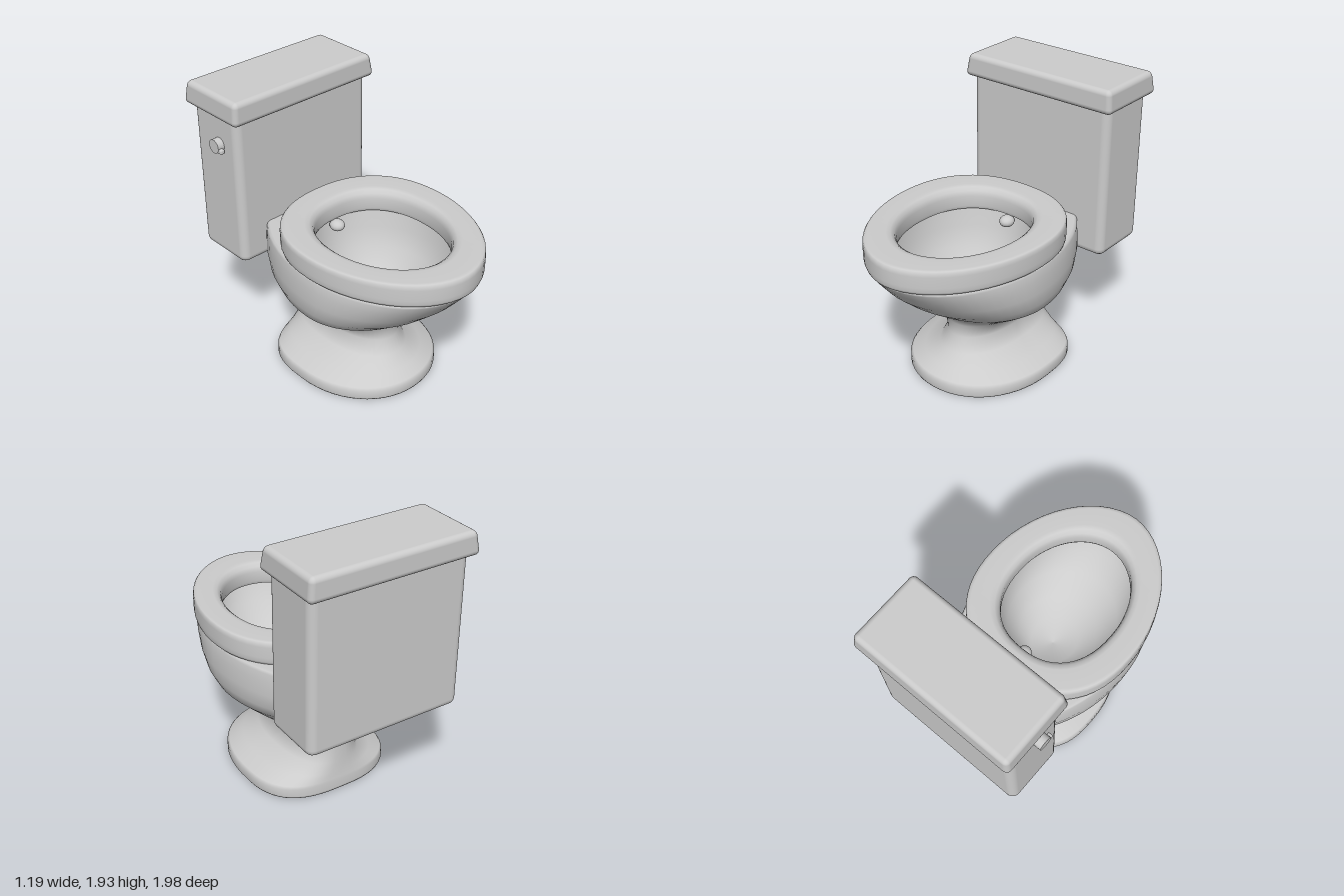
import * as THREE from 'three';
import { RoundedBoxGeometry } from 'three/addons/geometries/RoundedBoxGeometry.js';

const SEGMENTS = 56;
const material = new THREE.MeshStandardMaterial({ color: 0xcccccc });

// Lofts egg-shaped rings. Row: [y, half width, front z, back z, widest z, front power, back power]
function loft(rows) {
  const pos = [], index = [];
  const bend = (v, n) => Math.sign(v) * Math.pow(Math.abs(v), 2 / n);
  for (const [y, w, front, back, mid, nf = 2, nb = 2] of rows) {
    for (let j = 0; j < SEGMENTS; j++) {
      const a = (j / SEGMENTS) * Math.PI * 2;
      const s = Math.sin(a), n = s > 0 ? nf : nb;
      const reach = s > 0 ? front - mid : mid - back;
      pos.push(w * bend(Math.cos(a), n), y, mid + reach * bend(s, n));
    }
  }
  for (let i = 0; i < rows.length - 1; i++) {
    for (let j = 0; j < SEGMENTS; j++) {
      const k = (j + 1) % SEGMENTS;
      const a = i * SEGMENTS + j, b = a + SEGMENTS;
      const c = i * SEGMENTS + k, d = c + SEGMENTS;
      index.push(a, b, c, c, b, d);
    }
  }
  const g = new THREE.BufferGeometry();
  g.setAttribute('position', new THREE.Float32BufferAttribute(pos, 3));
  g.setIndex(index);
  g.computeVertexNormals();
  return g;
}

export function createModel() {
  const model = new THREE.Group();
  const add = (name, geometry, x = 0, y = 0, z = 0) => {
    const mesh = new THREE.Mesh(geometry, material);
    mesh.name = name;
    mesh.position.set(x, y, z);
    model.add(mesh);
    return mesh;
  };

  // Hollow foot, from the inside out to the floor rim
  const hollow = [
    [0.36, 0, -0.05, -0.05, -0.05],
    [0.36, 0.14, 0.27, -0.38, -0.05],
    [0.28, 0.16, 0.30, -0.40, -0.03],
    [0.17, 0.28, 0.40, -0.41, 0, 2, 2.4],
    [0.08, 0.44, 0.52, -0.43, 0, 2.1, 2.7],
    [0.01, 0.46, 0.55, -0.44, 0, 2.1, 2.8],
    [0, 0.47, 0.56, -0.45, 0, 2.1, 2.8],
  ];
  // Outer skin: foot, neck and bowl
  const skin = [
    [0, 0.495, 0.58, -0.475, 0, 2.1, 2.8],
    [0.015, 0.505, 0.588, -0.478, 0, 2.1, 2.8],
    [0.07, 0.505, 0.588, -0.475, 0, 2.1, 2.8],
    [0.09, 0.49, 0.572, -0.472, 0, 2.1, 2.8],
    [0.14, 0.39, 0.50, -0.465, 0, 2.1, 2.6],
    [0.21, 0.265, 0.415, -0.46, -0.01, 2.1, 2.5],
    [0.31, 0.212, 0.365, -0.452, -0.02, 2.1, 2.5],
    [0.40, 0.25, 0.362, -0.45, 0, 2, 2.3],
    [0.46, 0.33, 0.40, -0.455, 0.04, 2, 2.1],
    [0.53, 0.43, 0.48, -0.49, 0.08, 2, 2],
    [0.62, 0.535, 0.61, -0.56, 0.12],
    [0.70, 0.57, 0.72, -0.64, 0.16],
    [0.80, 0.58, 0.83, -0.68, 0.19],
    [0.90, 0.575, 0.915, -0.68, 0.2],
    [0.955, 0.567, 0.957, -0.68, 0.2],
    [0.972, 0.56, 0.965, -0.675, 0.2],
    [0.98, 0.545, 0.95, -0.66, 0.2],
  ];
  // Basin, from the rim down to the drain
  const basin = [
    [0.98, 0.45, 0.82, -0.25, 0.25],
    [0.96, 0.435, 0.80, -0.235, 0.25],
    [0.85, 0.425, 0.75, -0.22, 0.25],
    [0.72, 0.37, 0.62, -0.17, 0.22],
    [0.60, 0.27, 0.45, -0.10, 0.18],
    [0.53, 0.16, 0.32, -0.03, 0.15],
    [0.50, 0, 0.13, 0.13, 0.13],
  ];
  add('bowlAndPedestal', loft([...hollow, ...skin, ...basin]));

  // Egg-shaped ring seat; each pair is [y, blend from hole edge 0 to outer edge 1]
  const lerp = THREE.MathUtils.lerp;
  const seatProfile = [
    [0.985, 0.04], [0.98, 0.1], [0.98, 0.92], [0.984, 0.965], [1.0, 0.99],
    [1.03, 1], [1.105, 1], [1.128, 0.985], [1.139, 0.945], [1.142, 0.86],
    [1.142, 0.3], [1.136, 0.16], [1.115, 0.05], [1.08, 0], [1.01, 0], [0.985, 0.04],
  ];
  add('seat', loft(seatProfile.map(([y, t]) => [
    y, lerp(0.385, 0.588, t), lerp(0.745, 0.995, t), lerp(-0.19, -0.4, t),
    lerp(0.25, 0.2, t), lerp(2, 1.9, t), 2.3,
  ])));

  // Water outlet at the back of the basin
  const outlet = add('waterOutlet', new THREE.SphereGeometry(0.05, 16, 12), 0, 0.95, -0.175);
  outlet.scale.set(1, 0.8, 1.1);

  // Tank with its lower end drawn in slightly
  const tank = new RoundedBoxGeometry(1.11, 1.1, 0.44, 4, 0.055);
  const tp = tank.attributes.position;
  for (let i = 0; i < tp.count; i++) {
    if (tp.getY(i) < -0.53) tp.setZ(i, tp.getZ(i) * 0.97);
  }
  add('tank', tank, 0, 1.268, -0.71);

  // Lid, narrower at the top and with gently bowed sides
  const lid = new RoundedBoxGeometry(1.19, 0.155, 0.56, 4, 0.035);
  const lp = lid.attributes.position;
  for (let i = 0; i < lp.count; i++) {
    const x = lp.getX(i), y = lp.getY(i), z = lp.getZ(i);
    const up = y / 0.155 + 0.5;
    lp.setXYZ(i, x * (1 - 0.035 * up), y, z * (1 - 0.07 * up) * (1 - 0.03 * (x / 0.595) ** 2));
  }
  add('tankLid', lid, 0, 1.848, -0.713);

  // Flush handle: a round knob with a short lever
  const knob = add('flushKnob', new THREE.CylinderGeometry(0.048, 0.048, 0.06, 24), -0.573, 1.572, -0.67);
  knob.rotation.z = Math.PI / 2;
  add('flushLever', new RoundedBoxGeometry(0.035, 0.035, 0.1, 2, 0.012), -0.584, 1.55, -0.65);

  return model;
}
